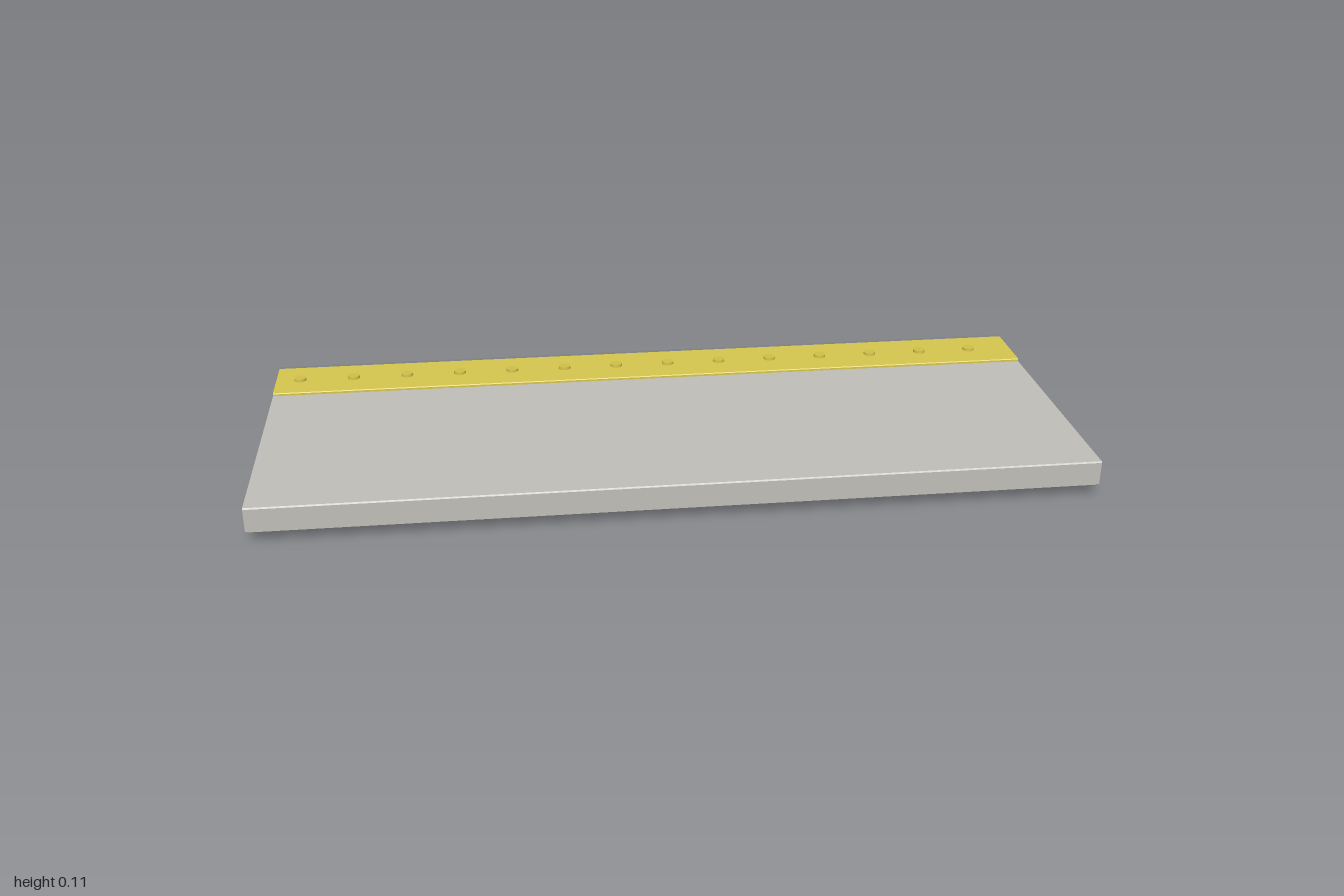
import * as THREE from 'three';

const LENGTH = 2;
const paint = (color) => new THREE.MeshStandardMaterial({ color });

// Extrude a (z, y) outline along the full width in x.
function bar(name, points, color) {
  const shape = new THREE.Shape(points.map(([z, y]) => new THREE.Vector2(z, y)));
  const geometry = new THREE.ExtrudeGeometry(shape, { depth: LENGTH, bevelEnabled: false });
  geometry.rotateY(-Math.PI / 2).translate(LENGTH / 2, 0, 0);
  const mesh = new THREE.Mesh(geometry, paint(color));
  mesh.name = name;
  return mesh;
}

export function createModel() {
  const group = new THREE.Group();
  group.name = 'stairTread';

  // Slab with eased front edges and a tongue at the back
  group.add(bar('treadSlab', [
    [-0.387, 0.033], [-0.367, 0.033], [-0.367, 0.028], [0.402, 0.028], [0.405, 0.031],
    [0.405, 0.089], [0.402, 0.092], [-0.367, 0.092], [-0.367, 0.088], [-0.387, 0.088],
  ], 0xc0beb8));

  // Channel-shaped nosing gripping the tongue, with a thick lower lip
  group.add(bar('nosing', [
    [-0.403, 0], [-0.369, 0], [-0.367, 0.002], [-0.367, 0.033], [-0.387, 0.033],
    [-0.387, 0.088], [-0.367, 0.088], [-0.367, 0.092], [-0.403, 0.092],
    [-0.405, 0.09], [-0.405, 0.002],
  ], 0x7c8087));

  // Raised warning strip
  group.add(bar('gripStrip', [
    [-0.376, 0.092], [-0.21, 0.092], [-0.21, 0.097], [-0.212, 0.099],
    [-0.374, 0.099], [-0.376, 0.097],
  ], 0xd6c64f));

  // Row of low studs along the strip
  const studs = new THREE.Group();
  studs.name = 'studs';
  const studGeometry = new THREE.CylinderGeometry(0.015, 0.016, 0.008, 24);
  const studMaterial = paint(0xd0be48);
  for (let i = 0; i < 14; i++) {
    const stud = new THREE.Mesh(studGeometry, studMaterial);
    stud.name = 'stud';
    stud.position.set(-0.937 + i * 0.14, 0.102, -0.292);
    studs.add(stud);
  }
  group.add(studs);

  return group;
}
